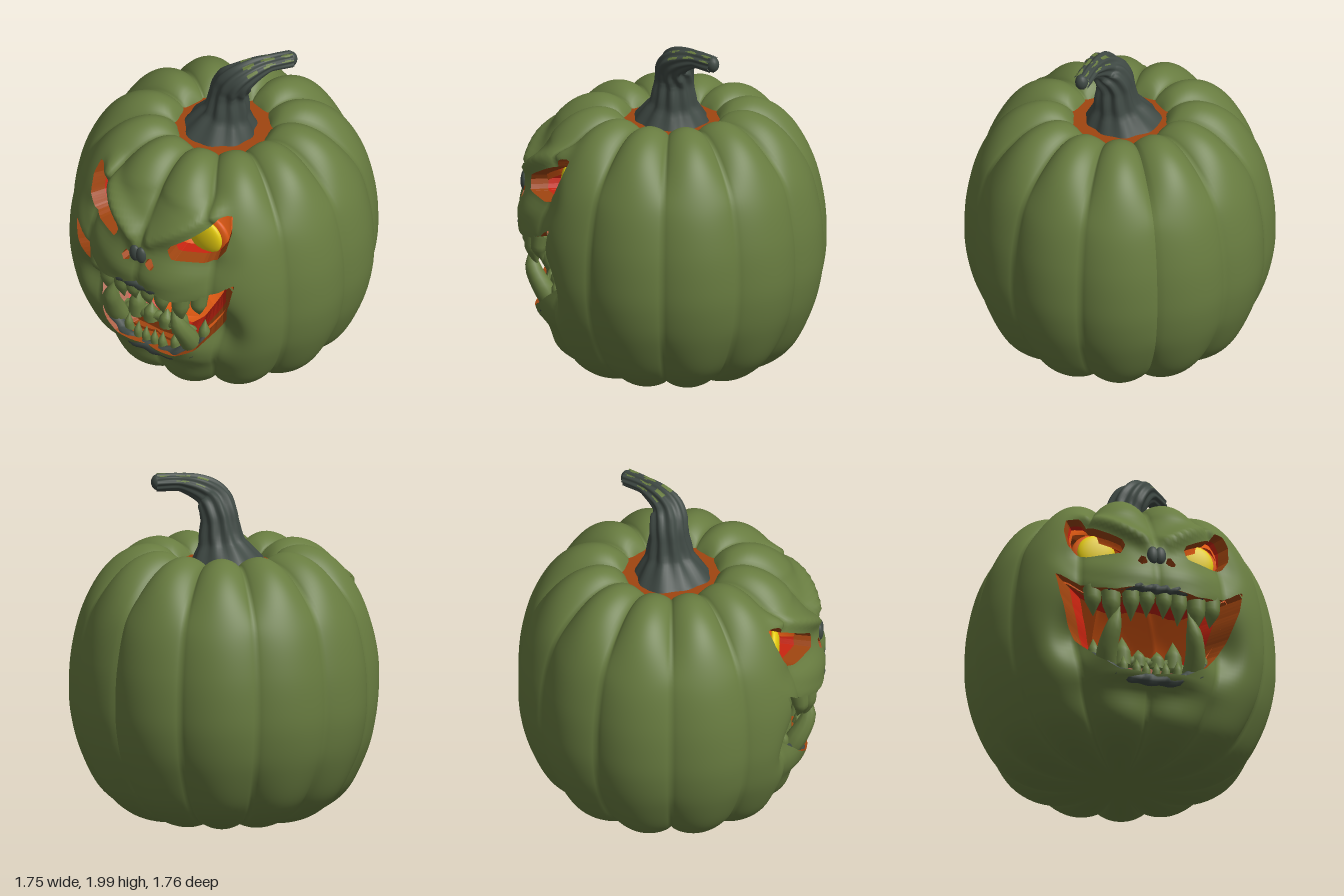
import * as THREE from 'three';

const V = (x, y, z) => new THREE.Vector3(x, y, z);
const mat = (name, color, side = THREE.FrontSide) => {
  const m = new THREE.MeshStandardMaterial({ color, side });
  m.name = name;
  return m;
};
const smooth = (a, b, x) => THREE.MathUtils.smoothstep(x, a, b);
const bell = (...u) => Math.exp(-u.reduce((s, k) => s + k * k, 0));

// Half outlines of the carved openings, mirrored through |x|
const EYE = [[.17, 1.15], [.19, 1.19], [.29, 1.255], [.36, 1.31], [.405, 1.375], [.46, 1.39], [.485, 1.3], [.475, 1.19], [.43, 1.12], [.37, 1.095], [.2, 1.1]];
const MOUTH = [[-.3, .87], [.1, .87], [.24, .845], [.36, .87], [.47, .93], [.555, 1.0], [.53, .86], [.47, .69], [.39, .56], [.32, .46], [.2, .385], [-.3, .365]];
const NOSTRIL = [[.05, 1.03], [.075, 1.1], [.115, 1.035], [.1, 1.01]];

function segDist(x, y, [ax, ay], [bx, by]) {
  const dx = bx - ax, dy = by - ay;
  const t = THREE.MathUtils.clamp(((x - ax) * dx + (y - ay) * dy) / (dx * dx + dy * dy), 0, 1);
  return Math.hypot(x - ax - t * dx, y - ay - t * dy);
}
// Signed distance to an outline, negative inside
function outline(x, y, poly) {
  let d = 9, inside = false;
  poly.forEach((a, i) => {
    const b = poly[(i + 1) % poly.length];
    d = Math.min(d, segDist(x, y, a, b));
    if ((a[1] > y) !== (b[1] > y) && x < a[0] + (y - a[1]) * (b[0] - a[0]) / (b[1] - a[1])) inside = !inside;
  });
  return inside ? -d : d;
}

// Relief along z: brows, snout, nose and lip forward; cheeks, mouth corners and chin back
function relief(x, y) {
  const ax = Math.abs(x);
  const plate = -.012 * (1 - smooth(.85, 1.05, Math.hypot(ax / .58, (y - 1.13) / .3)));
  const snout = .036 * bell(ax / .28, (y - .95) / .1);
  const brow = .065 * bell(segDist(ax, y, [.07, 1.2], [.36, 1.38]) / .05);
  const nose = .045 * bell(ax / .07, (y - 1.12) / .07);
  const cheek = -.035 * bell((ax - .32) / .14, (y - 1.11) / .07);
  const corner = -.13 * bell((ax - .42) / .15, (y - .62) / .17);
  const lip = .035 * bell(ax / .26, (y - .355) / .035);
  return plate + snout + brow + nose + cheek + corner + lip - .075 * bell(ax / .4, (y - .29) / .14);
}

const inward = p => V(p.x * .88, p.y * .9 + .08, p.z * .88);
// The mouth is cut deeper than the eyes
const cutDepth = p => p.y < 1.01 ? V(p.x * .62, p.y * .92 + .06, p.z * .62) : V(p.x * .85, p.y * .94 + .07, p.z * .78);

function soup(points, normals) {
  const g = new THREE.BufferGeometry().setFromPoints(points);
  if (normals) g.setAttribute('normal', new THREE.Float32BufferAttribute(normals.flatMap(n => [n.x, n.y, n.z]), 3));
  else g.computeVertexNormals();
  return g;
}

// Ribbed shell, clipped at the openings; returns skin, lining and cut walls
function carvedShell() {
  const profile = new THREE.SplineCurve([[0, .02], [.3, 0], [.45, .01], [.6, .07], [.73, .19], [.83, .4], [.88, .6],
    [.89, .78], [.874, .98], [.82, 1.2], [.72, 1.4], [.6, 1.525], [.46, 1.58], [.34, 1.56], [.27, 1.49], [.25, 1.43]]
    .map(p => new THREE.Vector2(...p))).getSpacedPoints(88);
  const N = 240, pos = [], index = [], f = [];
  profile.forEach(({ x: r, y }, i) => {
    for (let j = 0; j <= N; j++) {
      const a = -Math.PI + j / N * Math.PI * 2;
      const valley = 1 - Math.pow(Math.abs(Math.sin(6 * a)), .72);
      const top = smooth(1.2, 1.55, y), base = (1 - smooth(.05, .5, y)) * smooth(.1, .45, r);
      const rr = r * (1 - (.045 + .04 * top + .03 * base) * valley);
      const p = V(rr * Math.sin(a), y + (.03 * base - .06 * top) * valley, rr * Math.cos(a));
      if (p.z > .3) p.z += relief(p.x, p.y) * smooth(.3, .5, p.z);
      pos.push(p);
      const ax = Math.abs(p.x);
      f.push(p.z < 0 ? 1 : Math.min(...[EYE, MOUTH, NOSTRIL].map(o => outline(ax, p.y, o))));
      if (i && j) {
        const d = pos.length - 1, c = d - 1, b = d - N - 1, e = b - 1;
        index.push(e, b, c, b, d, c);
      }
    }
  });
  const grid = new THREE.BufferGeometry().setFromPoints(pos).setIndex(index);
  grid.computeVertexNormals();
  const nor = pos.map((_, i) => new THREE.Vector3().fromBufferAttribute(grid.attributes.normal, i));

  const P = [], Nn = [], LP = [], LN = [], outerWall = [], innerWall = [];
  for (let i = 0; i < index.length; i += 3) {
    const poly = [], cuts = [];
    for (let k = 0; k < 3; k++) {
      const a = index[i + k], b = index[i + (k + 1) % 3];
      if (f[a] >= 0) poly.push([pos[a], nor[a]]);
      if ((f[a] >= 0) !== (f[b] >= 0)) {
        const t = f[a] / (f[a] - f[b]);
        const c = [pos[a].clone().lerp(pos[b], t), nor[a].clone().lerp(nor[b], t).normalize()];
        poly.push(c);
        cuts.push(c[0]);
      }
    }
    for (let k = 2; k < poly.length; k++) {
      const tri = [poly[0], poly[k - 1], poly[k]];
      tri.forEach(v => { P.push(v[0]); Nn.push(v[1]); });
      tri.reverse().forEach(v => { LP.push(inward(v[0])); LN.push(v[1].clone().negate()); });
    }
    if (cuts.length === 2) {
      const [a, b] = cuts, c = cutDepth(a), d = cutDepth(b);
      const m = a.clone().lerp(c, .56), n = b.clone().lerp(d, .56);
      outerWall.push(a, b, m, b, n, m);
      innerWall.push(m, n, c, n, d, c);
    }
  }
  return [soup(P, Nn), soup(LP, LN), soup(outerWall), soup(innerWall)];
}

// Tapered tube through points; shape(angle, t) scales the ring
function loft(pts, radii, { sides = 10, steps = 10, ref = V(1, 0, 1), shape = () => 1 } = {}) {
  const curve = new THREE.CatmullRomCurve3(pts.map(p => V(...p)));
  const pos = [], index = [];
  for (let i = 0; i <= steps; i++) {
    const t = i / steps, c = curve.getPoint(t), tan = curve.getTangent(t);
    const n = ref.clone().addScaledVector(tan, -ref.dot(tan)).normalize();
    const b = tan.clone().cross(n);
    const u = t * (radii.length - 1), k = Math.min(Math.floor(u), radii.length - 2);
    const r = THREE.MathUtils.lerp(radii[k], radii[k + 1], u - k);
    for (let j = 0; j < sides; j++) {
      const a = j / sides * Math.PI * 2, s = r * shape(a, t);
      pos.push(c.clone().addScaledVector(n, s * Math.cos(a)).addScaledVector(b, s * Math.sin(a)));
      if (i) {
        const o = (i - 1) * sides, q = (j + 1) % sides;
        index.push(o + j, o + q, o + sides + j, o + q, o + sides + q, o + sides + j);
      }
    }
  }
  const g = new THREE.BufferGeometry().setFromPoints(pos).setIndex(index);
  g.computeVertexNormals();
  return g;
}

export function createModel() {
  const model = new THREE.Group();
  model.name = 'carvedPumpkin';
  const green = mat('rindGreen', 0x687c40), dark = mat('stemGrey', 0x3f4944);
  const orange = mat('fleshOrange', 0xdc5812, THREE.DoubleSide), red = mat('fleshRed', 0xc82410, THREE.DoubleSide);
  const brown = mat('fleshBrown', 0xa04510, THREE.DoubleSide), yellow = mat('eyeYellow', 0xeed410);
  const add = (name, geo, m, x = 0, y = 0, z = 0) => {
    const mesh = new THREE.Mesh(geo, m);
    mesh.name = name;
    mesh.position.set(x, y, z);
    model.add(mesh);
    return mesh;
  };

  const [skin, lining, outerWall, innerWall] = carvedShell();
  add('rind', skin, green);
  add('lining', lining, orange);
  add('cutWall', outerWall, brown);
  add('innerCutEdge', innerWall, red);
  add('fleshAroundStem', new THREE.CircleGeometry(.335, 48).rotateX(-Math.PI / 2), brown, 0, 1.48, 0);

  // Twisted, ridged stem with a few green flecks on its upper side
  const stemGeo = loft([[-.005, 1.46, 0], [.02, 1.62, -.01], [.035, 1.76, -.015], [.105, 1.865, -.02], [.2, 1.93, -.13], [.295, 1.935, -.255]],
    [.225, .13, .105, .1, .074, .048, .048], {
      sides: 54, steps: 44,
      shape: (a, t) => 1 + (.03 + .06 * smooth(0, .3, t)) * Math.sin(9 * a + 5 * t) + .03 * Math.sin(4 * a - 6 * t)
    });
  const quads = stemGeo.index.count / 6;
  for (let q = 0; q < quads; q++) {
    const row = Math.floor(q / 54), up = stemGeo.attributes.normal.getY(stemGeo.index.getX(q * 6));
    const fleck = row > 26 && up > .75 && Math.sin(row * 1.1) + Math.sin(q % 54 * .9) > .4;
    stemGeo.addGroup(q * 6, 6, fleck ? 1 : 0);
  }
  add('stem', stemGeo, [dark, green]);
  add('stemTip', new THREE.SphereGeometry(.047, 16, 10), dark, .292, 1.935, -.251).scale.set(.8, 1, .8);

  // Lips, gum and mouth floor
  const rough = { sides: 10, steps: 40, ref: V(0, 0, 1), shape: (a, t) => 1 + .15 * Math.sin(t * 47 + a * 2) };
  add('lowerLip', loft([[-.335, .52, .65], [-.28, .425, .69], [-.15, .365, .73], [0, .35, .735], [.15, .365, .73], [.28, .425, .69], [.335, .52, .65]],
    [.014, .048, .036, .032, .036, .048, .014], rough), dark);
  add('upperLip', loft([[-.28, .855, .82], [-.14, .875, .85], [0, .87, .85], [.14, .875, .85], [.28, .855, .82]],
    [.008, .026, .028, .026, .008], rough), dark);
  add('lowerGum', loft([[-.24, .47, .62], [-.12, .495, .63], [0, .5, .63], [.12, .495, .63], [.24, .47, .62]],
    [.035, .038, .032, .038, .035], rough), green);
  add('mouthFloor', new THREE.BoxGeometry(.48, .12, .009), brown, 0, .42, .615);

  for (const s of [-1, 1]) {
    // Recessed eyes and nose
    add('eyeBacking', new THREE.SphereGeometry(.128, 24, 16), orange, s * .302, 1.18, .55).scale.z = .3;
    add('eyeball', new THREE.SphereGeometry(.112, 24, 16), yellow, s * .29, 1.18, .585).scale.z = .32;
    add('noseLobe', new THREE.SphereGeometry(.036, 16, 12), dark, s * .022, 1.085, .846).scale.set(.95, 1.5, .7);

    // Upper teeth: x, tip height, radius
    for (const [x, tip, r] of [[.05, .71, .052], [.14, .68, .054], [.25, .65, .06], [.35, .72, .055]]) {
      const z = Math.sqrt(.7 - x * x) - .03;
      add('upperTooth', loft([[s * x, .89, z], [s * x, (.89 + tip) / 2, z + .01], [s * x * .98, tip, z - .01]], [r, r * .85, .001]), green);
    }
    // Curved tusks and lower teeth
    add('tusk', loft([[s * .25, .41, .65], [s * .26, .52, .72], [s * .235, .65, .785], [s * .2, .775, .785]], [.06, .06, .046, .001]), green);
    for (const [x, base, tip, z, r] of [[.15, .47, .65, .63, .058], [.055, .47, .58, .63, .052], [.03, .37, .47, .715, .028], [.085, .37, .48, .715, .03], [.16, .39, .5, .7, .03], [.32, .48, .62, .63, .04]])
      add('lowerTooth', loft([[s * x, base, z], [s * x, (base + tip) / 2, z + .01], [s * x, tip, z]], [r, r * .8, .001]), green);
  }
  return model;
}
